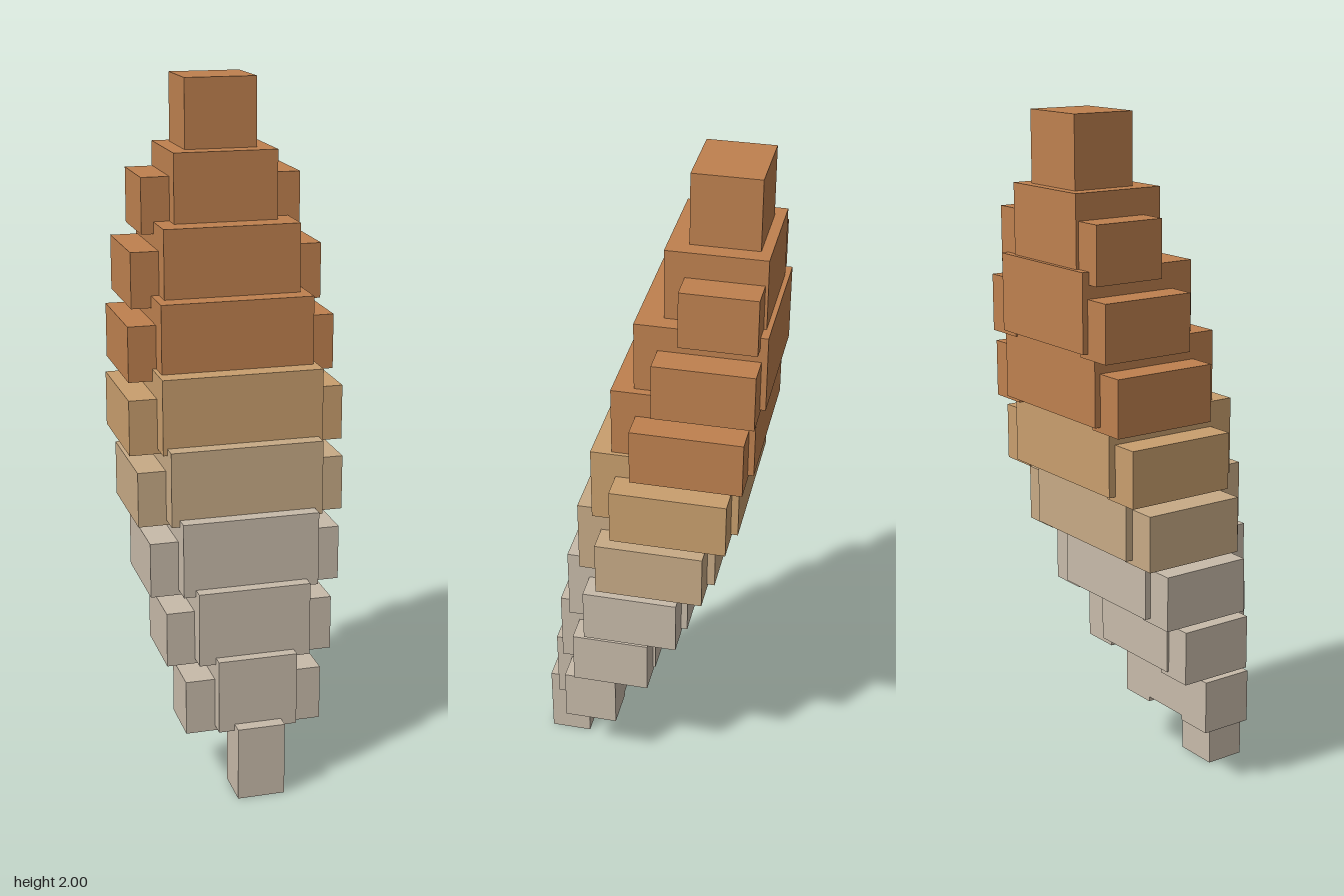
import * as THREE from 'three';

const material = (name, color) => {
  const m = new THREE.MeshStandardMaterial({ color });
  m.name = name;
  return m;
};

export function createModel() {
  const group = new THREE.Group();
  group.name = 'steppedBlockForm';

  const stone = material('pale stone', 0xc8bbaa);
  const sand = material('sand', 0xc8ab86);
  const tan = material('tan', 0xc99f6e);
  const rust = material('rust', 0xbf814f);

  // Box given by its limits on each axis
  const block = (name, mat, x0, x1, y0, y1, z0, z1) => {
    const mesh = new THREE.Mesh(new THREE.BoxGeometry(x1 - x0, y1 - y0, z1 - z0), mat);
    mesh.position.set((x0 + x1) / 2, (y0 + y1) / 2, (z0 + z1) / 2);
    mesh.name = name;
    group.add(mesh);
  };

  // Tiers from the bottom: material, core [half width, back z, front z],
  // side lobes [outer x, back z, front z]
  const tiers = [
    [stone, [0.069, 0.21, 0.331]],
    [stone, [0.115, 0.09, 0.293], [0.2, 0.09, 0.247]],
    [stone, [0.163, -0.027, 0.261], [0.244, -0.02, 0.205]],
    [stone, [0.198, -0.13, 0.225], [0.279, -0.112, 0.161]],
    [sand, [0.221, -0.212, 0.184], [0.302, -0.19, 0.116]],
    [tan, [0.233, -0.276, 0.139], [0.314, -0.256, 0.069]],
    [rust, [0.221, -0.312, 0.082], [0.302, -0.295, 0.014]],
    [rust, [0.198, -0.333, 0.023], [0.279, -0.317, -0.041]],
    [rust, [0.151, -0.32, -0.048], [0.233, -0.312, -0.102]],
    [rust, [0.105, -0.291, -0.105]],
  ];
  const rise = 0.198, coreHeight = 0.218, lobeWidth = 0.118;

  tiers.forEach(([mat, core, lobe], i) => {
    const y = i * rise;
    block(`coreBlock${i + 1}`, mat, -core[0], core[0], y, y + coreHeight, core[1], core[2]);
    if (!lobe) return;
    const [outer, back, front] = lobe, inner = outer - lobeWidth;
    block(`leftLobe${i + 1}`, mat, inner, outer, y - 0.015, y + 0.146, back, front);
    block(`rightLobe${i + 1}`, mat, -outer, -inner, y - 0.015, y + 0.146, back, front);
  });

  return group;
}
